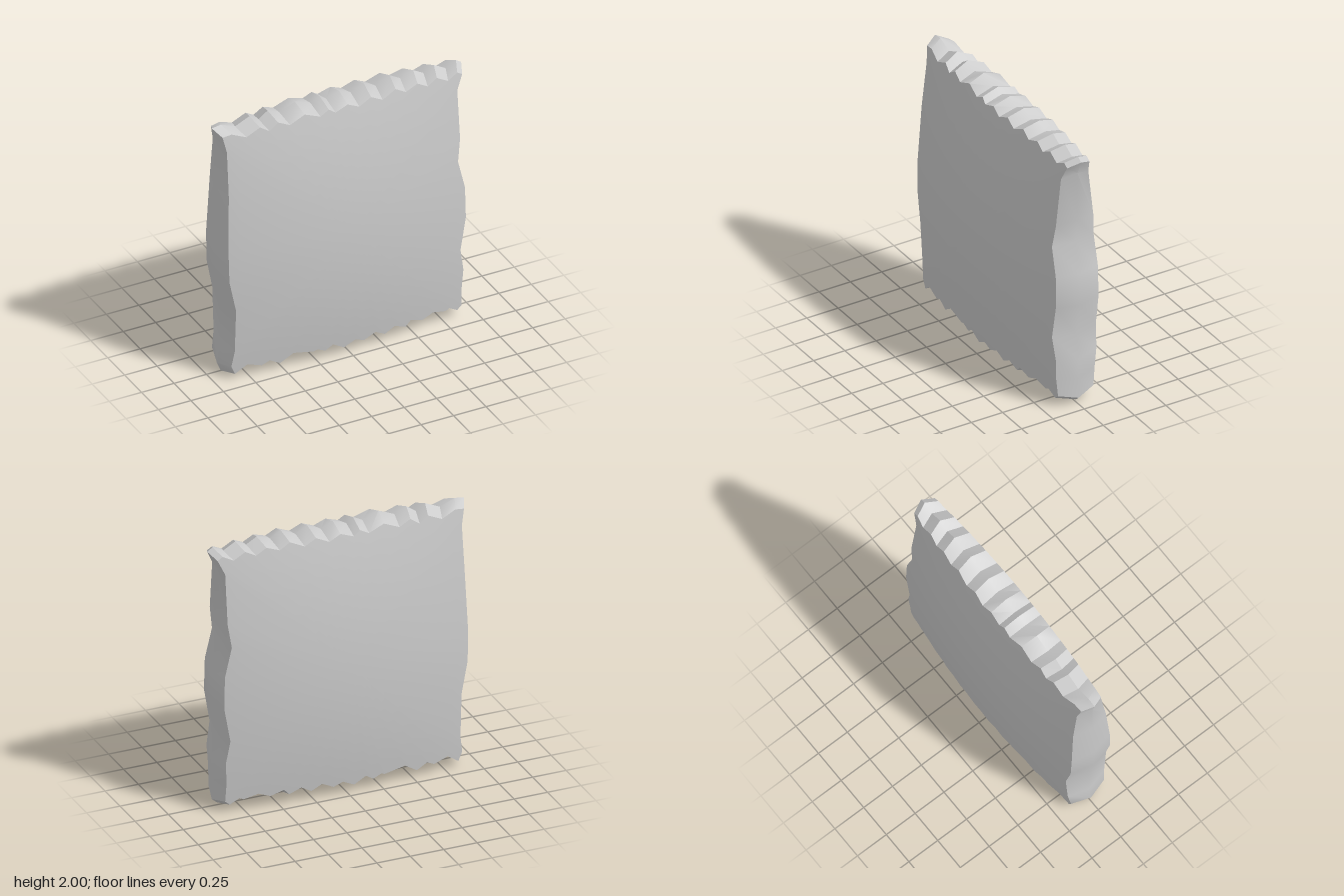
import * as THREE from 'three';
import { toCreasedNormals } from 'three/addons/utils/BufferGeometryUtils.js';

// Outer ridge of the puffed square (x, y), clockwise seen from the front
const topEdge = [
  [-.96, 1.97], [-.89, 1.98], [-.78, 1.935], [-.67, 1.985], [-.6, 1.94], [-.53, 1.99], [-.44, 1.95], [-.32, 2],
  [-.2, 1.955], [-.13, 1.99], [-.08, 1.955], [.02, 1.99], [.11, 1.95], [.21, 1.995], [.3, 1.95], [.41, 2],
  [.49, 1.955], [.59, 1.99], [.67, 1.945], [.75, 1.985], [.84, 1.935], [.92, 1.975], [.96, 1.95],
];
const leftEdge = [
  [.91, 1.84], [.91, 1.46], [.885, 1.28], [.94, 1.05], [.945, .8], [.9, .54], [.93, .36], [.92, .2],
];
const bottomEdge = [
  [.925, .05], [.89, .02], [.82, .065], [.79, .05], [.68, .08], [.59, .045], [.49, .08], [.45, .035], [.36, .075],
  [.28, .03], [.2, .075], [.11, .03], [.04, .06], [-.05, .015], [-.14, .07], [-.2, .03], [-.26, .06], [-.29, .05],
  [-.45, .08], [-.55, .015], [-.63, .06], [-.69, .03], [-.8, .065], [-.89, 0], [-.92, .07],
];
const rightEdge = [
  [-.9, .2], [-.9, .55], [-.95, .8], [-.955, 1.05], [-.94, 1.5], [-.935, 1.85],
];

// Half thickness of the puffed body
const dome = (x, y) => (0.258 - 0.098 * (y - 0.8) ** 2) * (1 - 0.41 * x * x);

function puffedBody() {
  const outline = [...topEdge, ...leftEdge, ...bottomEdge, ...rightEdge];
  const n = outline.length;
  const rings = 12, rim = 0.96;

  // Loops run from the front centre out to the ridge and back to the rear centre
  const layers = [];
  for (let k = 0; k <= rings; k++) layers.push([rim * k / rings, 1]);
  layers.push([1, 0]);
  for (let k = rings; k >= 0; k--) layers.push([rim * k / rings, -1]);

  const pos = [], index = [];
  for (const [s, side] of layers) {
    for (const [px, py] of outline) {
      const x = px * s, y = 1 + (py - 1) * s;
      pos.push(x, y, side * dome(x, y));
    }
  }
  const last = layers.length - 2;
  for (let l = 0; l <= last; l++) {
    for (let i = 0; i < n; i++) {
      const j = (i + 1) % n;
      const a = l * n + i, d = l * n + j, b = a + n, c = d + n;
      if (l > 0) index.push(a, d, c);
      if (l < last) index.push(a, c, b);
      else index.pop(), index.push(c);
    }
  }
  const g = new THREE.BufferGeometry();
  g.setAttribute('position', new THREE.Float32BufferAttribute(pos, 3));
  g.setIndex(index);
  return toCreasedNormals(g, 0.7);
}

export function createModel() {
  const group = new THREE.Group();
  group.name = 'puffedSquare';
  const body = new THREE.Mesh(puffedBody(), new THREE.MeshStandardMaterial({ color: 0xcccccc }));
  body.name = 'crimpedBody';
  group.add(body);
  return group;
}
